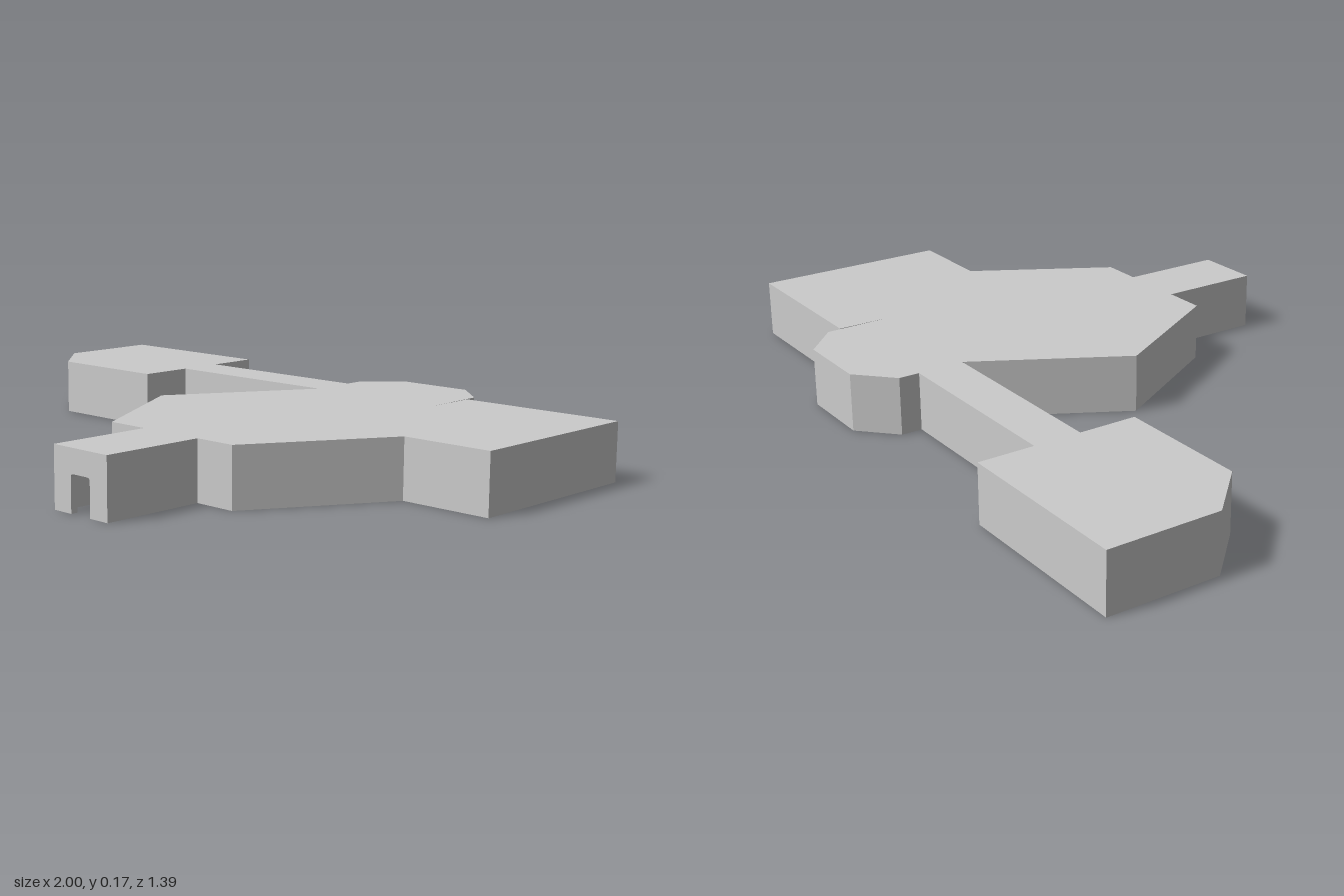
import * as THREE from 'three';

const HEIGHT = 0.165, CEILING = 0.14, WALL = 0.02;
const DOOR_W = 0.07, DOOR_H = 0.1;

// Floor plans as [x, z] corners; wall i runs from corner i to the next.
// doors: wall index -> position along that wall. open: walls left out.
const ROOMS = [
  { name: 'mainHall', doors: { 0: 0.5, 1: 0.5, 3: 0.495 }, open: [],
    plan: [[0.09, -0.4], [0.515, -0.4], [0.74, 0.01], [0.515, 0.395], [0.075, 0.395], [-0.145, 0.01]] },
  { name: 'backRoom', doors: { 0: 0.35 }, open: [5],
    plan: [[0.09, -0.4], [0.09, -0.6], [0.19, -0.695], [0.41, -0.695], [0.51, -0.6], [0.515, -0.4]] },
  { name: 'sideRoom', doors: {}, open: [3],
    plan: [[0.515, -0.56], [1, -0.56], [1, 0.01], [0.74, 0.01], [0.515, -0.4]] },
  { name: 'farRoom', doors: { 1: 0.5 }, open: [],
    plan: [[-1, -0.7], [-0.475, -0.7], [-0.475, -0.24], [-0.86, -0.24], [-1, -0.385]] },
  { name: 'corridor', doors: {}, open: [1, 3],
    plan: [[-0.475, -0.54], [0.09, -0.54], [0.09, -0.405], [-0.475, -0.405]] },
  { name: 'entrance', doors: { 2: 0.5 }, open: [0],
    plan: [[0.2, 0.395], [0.395, 0.395], [0.395, 0.695], [0.2, 0.695]] },
];

const material = new THREE.MeshStandardMaterial({ color: 0xcccccc, flatShading: true });

function extrude(shape, depth, name) {
  const geometry = new THREE.ExtrudeGeometry(shape, { depth, bevelEnabled: false, curveSegments: 5 });
  const mesh = new THREE.Mesh(geometry, material);
  mesh.name = name;
  return mesh;
}

// Upright wall outline, with a doorway notched up from the ground
function wallShape(length, door) {
  const s = new THREE.Shape();
  s.moveTo(0, 0);
  if (door !== undefined) {
    const a = door * length - DOOR_W / 2, b = a + DOOR_W, r = 0.01;
    s.lineTo(a, 0);
    s.lineTo(a, DOOR_H - r);
    s.quadraticCurveTo(a, DOOR_H, a + r, DOOR_H);
    s.lineTo(b - r, DOOR_H);
    s.quadraticCurveTo(b, DOOR_H, b, DOOR_H - r);
    s.lineTo(b, 0);
  }
  s.lineTo(length, 0);
  s.lineTo(length, CEILING);
  s.lineTo(0, CEILING);
  s.closePath();
  return s;
}

// Curved bracket where a wall end meets the ceiling
function bracketShape(x, dir) {
  const r = 0.035 * dir;
  const s = new THREE.Shape();
  s.moveTo(x, CEILING);
  s.lineTo(x + r, CEILING);
  s.quadraticCurveTo(x, CEILING, x, CEILING - 0.035);
  s.closePath();
  return s;
}

function buildWall(p, q, door) {
  const wall = new THREE.Group();
  wall.name = 'wall';
  const dx = q[0] - p[0], dz = q[1] - p[1], length = Math.hypot(dx, dz);
  wall.add(extrude(wallShape(length, door), WALL, 'wallPanel'));
  for (const [x, dir] of [[WALL, 1], [length - WALL, -1]]) {
    const bracket = extrude(bracketShape(x, dir), 0.006, 'cornerBracket');
    bracket.position.z = WALL;
    wall.add(bracket);
  }
  wall.position.set(p[0], 0, p[1]);
  wall.rotation.y = Math.atan2(-dz, dx);
  return wall;
}

function buildRoom({ name, plan, doors, open }) {
  const room = new THREE.Group();
  room.name = name;
  // Flat roof slab
  const outline = new THREE.Shape(plan.map(([x, z]) => new THREE.Vector2(x, -z)));
  const roof = extrude(outline, HEIGHT - CEILING, 'roof');
  roof.rotation.x = -Math.PI / 2;
  roof.position.y = CEILING;
  room.add(roof);
  // Walls stand inside the outline
  plan.forEach((p, i) => {
    if (!open.includes(i)) room.add(buildWall(p, plan[(i + 1) % plan.length], doors[i]));
  });
  return room;
}

export function createModel() {
  const model = new THREE.Group();
  model.name = 'building';
  for (const room of ROOMS) model.add(buildRoom(room));
  return model;
}
